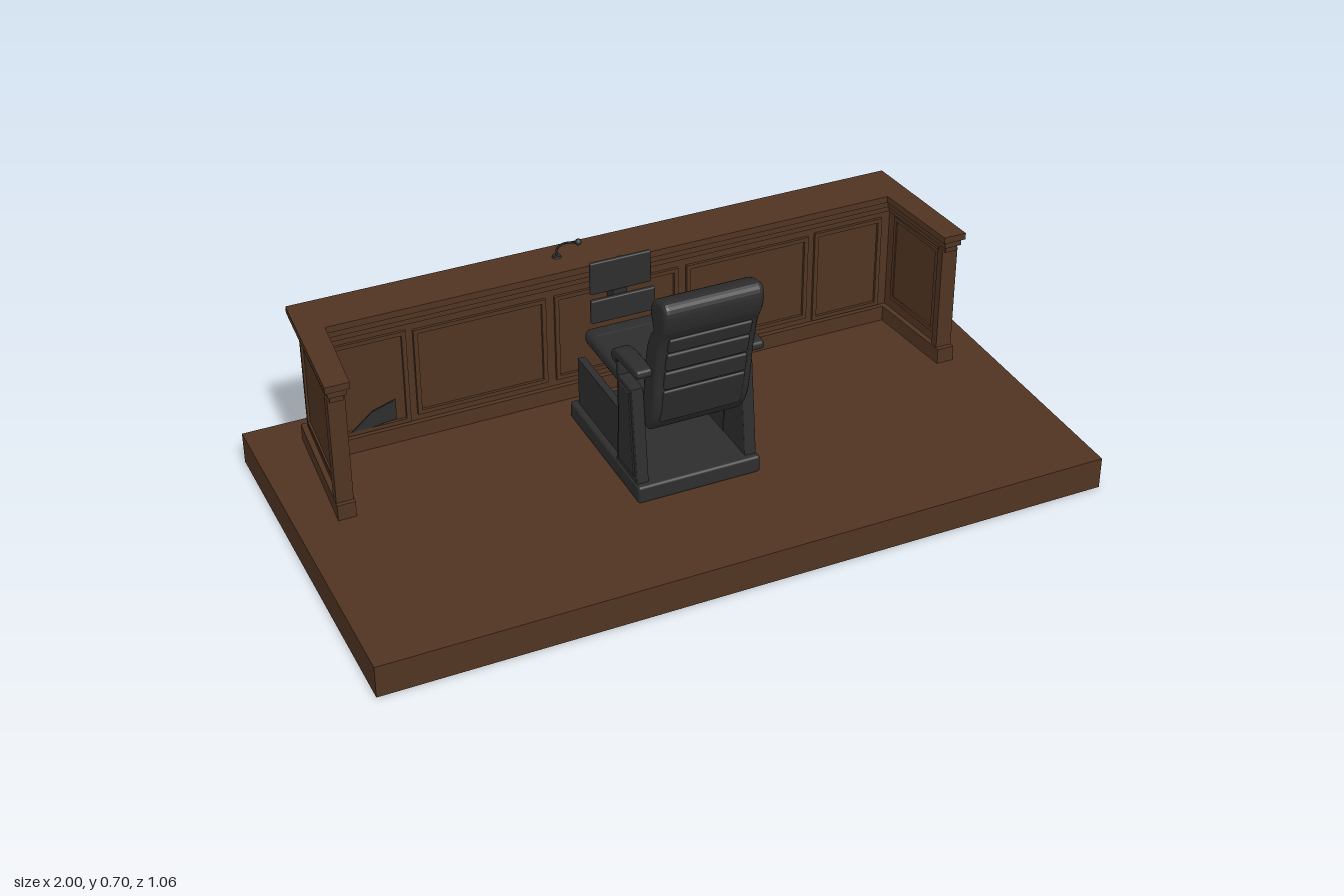
import * as THREE from 'three';
import { RoundedBoxGeometry } from 'three/addons/geometries/RoundedBoxGeometry.js';

const wood = new THREE.MeshStandardMaterial({ color: 0x503422 });
wood.name = 'dark walnut';
const leather = new THREE.MeshStandardMaterial({ color: 0x2d2d2e });
leather.name = 'charcoal leather';

function add(parent, name, geometry, material, x = 0, y = 0, z = 0) {
  const mesh = new THREE.Mesh(geometry, material);
  mesh.name = name;
  mesh.position.set(x, y, z);
  parent.add(mesh);
  return mesh;
}

const box = (w, h, d) => new THREE.BoxGeometry(w, h, d);
const soft = (w, h, d, r) => new RoundedBoxGeometry(w, h, d, 3, r);

// U-shaped slab with slightly splayed wings, inset by d from the cap outline
function benchLayer(d, height) {
  const half = [[0.87 - d, -0.45 + d], [0.9 - d, -0.043 - d], [0.835 + d, -0.043 - d], [0.81 + d, -0.31 - d]];
  const outline = [...half, ...half.map(([x, z]) => [-x, z]).reverse()];
  const shape = new THREE.Shape(outline.map(([x, z]) => new THREE.Vector2(x, -z)));
  return new THREE.ExtrudeGeometry(shape, { depth: height, bevelEnabled: false }).rotateX(-Math.PI / 2);
}

// Side profile given as [z, y] points, extruded across x
function sideProfile(points, width, bevel, smooth) {
  const pts = points.map(([z, y]) => new THREE.Vector2(z, y));
  const outline = smooth ? new THREE.SplineCurve([...pts, pts[0]]).getPoints(60).slice(0, -1) : pts;
  const depth = width - 2 * bevel;
  return new THREE.ExtrudeGeometry(new THREE.Shape(outline), {
    depth, bevelEnabled: true, bevelSize: bevel, bevelThickness: bevel, bevelOffset: -bevel, bevelSegments: 3,
  }).translate(0, 0, -depth / 2).rotateY(-Math.PI / 2);
}

// Raised rectangular moulding facing local +z
function panelFrame(parent, name, w, h, x, y, z, turn = 0) {
  const frame = new THREE.Group();
  frame.name = name;
  const t = 0.012, deep = 0.012;
  for (const s of [-1, 1]) {
    add(frame, 'frameRail', box(w, t, deep), wood, 0, s * (h - t) / 2, 0);
    add(frame, 'frameStile', box(t, h - 2 * t, deep), wood, s * (w - t) / 2, 0, 0);
  }
  frame.position.set(x, y, z);
  frame.rotation.y = turn;
  parent.add(frame);
}

function createBench() {
  const bench = new THREE.Group();
  bench.name = 'bench';
  add(bench, 'benchBody', benchLayer(0.022, 0.36), wood, 0, 0.09);
  add(bench, 'benchPlinth', benchLayer(0.008, 0.045), wood, 0, 0.09);
  add(bench, 'lowerCornice', benchLayer(0.015, 0.018), wood, 0, 0.438);
  add(bench, 'upperCornice', benchLayer(0.008, 0.022), wood, 0, 0.456);
  add(bench, 'benchCap', benchLayer(0, 0.019), wood, 0, 0.476);

  // Mouldings on the inner wall, the outer wall and both wings
  for (const s of [-1, 1]) {
    panelFrame(bench, 'innerWidePanel', 0.37, 0.26, s * 0.39, 0.285, -0.33);
    panelFrame(bench, 'innerNarrowPanel', 0.21, 0.28, s * 0.7, 0.28, -0.33);
    panelFrame(bench, 'wingOuterPanel', 0.29, 0.265, s * 0.862, 0.298, -0.25, s * (Math.PI / 2 + 0.075));
    panelFrame(bench, 'wingInnerPanel', 0.21, 0.265, s * 0.846, 0.298, -0.2, s * (-Math.PI / 2 + 0.08));
    add(bench, 'wingPilaster', box(0.046, 0.31, 0.025), wood, s * 0.867, 0.288, -0.076);
  }
  panelFrame(bench, 'innerMiddlePanel', 0.36, 0.26, 0, 0.285, -0.33);
  panelFrame(bench, 'outerPanel', 1.6, 0.265, 0, 0.298, -0.428, Math.PI);

  // Grey patch on the inner wall
  const patch = new THREE.Shape([[-0.765, 0.145], [-0.635, 0.16], [-0.635, 0.22], [-0.7, 0.2]]
    .map(([x, y]) => new THREE.Vector2(x, y)));
  add(bench, 'wallPatch', new THREE.ExtrudeGeometry(patch, { depth: 0.004, bevelEnabled: false }), leather, 0, 0, -0.328);
  return bench;
}

function createChair() {
  const chair = new THREE.Group();
  chair.name = 'chair';
  chair.position.x = -0.006;

  // Base and seat
  add(chair, 'chairPlinth', soft(0.345, 0.05, 0.445, 0.008), leather, 0, 0.114, -0.018);
  add(chair, 'seatCushion', soft(0.26, 0.045, 0.39, 0.018), leather, 0, 0.333, -0.045);
  add(chair, 'seatFrontRoll', soft(0.25, 0.04, 0.06, 0.018), leather, 0, 0.337, -0.205);

  // Backrest with a bulging headrest
  const back = [
    [0.17, 0.285], [0.2, 0.33], [0.218, 0.4], [0.228, 0.48], [0.25, 0.58], [0.274, 0.63], [0.282, 0.675],
    [0.268, 0.702], [0.235, 0.7], [0.2, 0.682], [0.19, 0.645], [0.204, 0.605], [0.185, 0.58],
    [0.165, 0.53], [0.15, 0.45], [0.142, 0.36], [0.148, 0.3],
  ];
  add(chair, 'backrest', sideProfile(back, 0.27, 0.014, true), leather);

  // Horizontal pads across the rear of the backrest
  const rear = [[0.193, 0.318], [0.221, 0.43], [0.23, 0.49], [0.243, 0.55], [0.257, 0.6]];
  for (let i = 0; i < rear.length - 1; i++) {
    const [z0, y0] = rear[i], [z1, y1] = rear[i + 1];
    const pad = add(chair, 'rearPad', soft(0.225, Math.hypot(z1 - z0, y1 - y0) - 0.006, 0.016, 0.006),
      leather, 0, (y0 + y1) / 2, (z0 + z1) / 2);
    pad.rotation.x = Math.atan2(z1 - z0, y1 - y0);
  }

  // Tufting buttons in staggered rows
  const button = new THREE.SphereGeometry(0.007, 10, 8);
  [[0.4, 0.145], [0.45, 0.15], [0.5, 0.159], [0.55, 0.171]].forEach(([y, z], row) => {
    const count = row % 2 ? 3 : 4;
    for (let i = 0; i < count; i++) add(chair, 'tuftButton', button, leather, (i - (count - 1) / 2) * 0.06, y, z);
  });

  // Side panels, arm supports and armrests
  const support = [[0.187, 0.13], [0.175, 0.24], [0.155, 0.405], [0.076, 0.405], [0.075, 0.45], [0.052, 0.45],
    [0.062, 0.4], [0.066, 0.3], [0.062, 0.2], [0.053, 0.13]];
  const inset = [[0.17, 0.155], [0.16, 0.24], [0.143, 0.39], [0.082, 0.39], [0.08, 0.3], [0.077, 0.2], [0.071, 0.155]];
  const arm = [[0.205, 0.475], [0.195, 0.488], [0.13, 0.488], [0.075, 0.482], [0.046, 0.465], [0.048, 0.443],
    [0.065, 0.439], [0.082, 0.452], [0.13, 0.458], [0.195, 0.463]];
  for (const s of [-1, 1]) {
    add(chair, 'sidePanel', box(0.02, 0.15, 0.28), leather, s * 0.145, 0.205, -0.08);
    add(chair, 'armSupport', sideProfile(support, 0.032, 0.003), leather, s * 0.152);
    add(chair, 'armSupportInset', sideProfile(inset, 0.008, 0.002), leather, s * 0.168);
    add(chair, 'armrest', sideProfile(arm, 0.048, 0.009, true), leather, s * 0.153);
  }
  return chair;
}

function createDeskEquipment() {
  const equipment = new THREE.Group();
  equipment.name = 'deskEquipment';

  // Screen and lower panel on the inner side of the bench
  add(equipment, 'screen', soft(0.175, 0.095, 0.012, 0.004), leather, -0.006, 0.467, -0.29);
  add(equipment, 'lowerPanel', soft(0.185, 0.07, 0.014, 0.004), leather, -0.006, 0.375, -0.275);
  add(equipment, 'screenBracket', box(0.04, 0.16, 0.04), leather, -0.006, 0.415, -0.312);

  // Gooseneck microphone
  const neck = new THREE.CatmullRomCurve3([
    [-0.145, 0.494, -0.39], [-0.144, 0.52, -0.388], [-0.132, 0.54, -0.374], [-0.105, 0.555, -0.343],
  ].map((p) => new THREE.Vector3(...p)));
  add(equipment, 'microphoneNeck', new THREE.TubeGeometry(neck, 20, 0.003, 8), leather);
  add(equipment, 'microphoneBase', new THREE.CylinderGeometry(0.011, 0.013, 0.006, 16), leather, -0.145, 0.497, -0.39);
  add(equipment, 'microphoneHead', new THREE.SphereGeometry(0.009, 14, 10), leather, -0.103, 0.556, -0.34);
  return equipment;
}

export function createModel() {
  const model = new THREE.Group();
  model.name = 'courtroomBench';
  add(model, 'platform', box(2, 0.09, 1.06), wood, 0, 0.045, 0);
  model.add(createBench(), createChair(), createDeskEquipment());
  return model;
}
